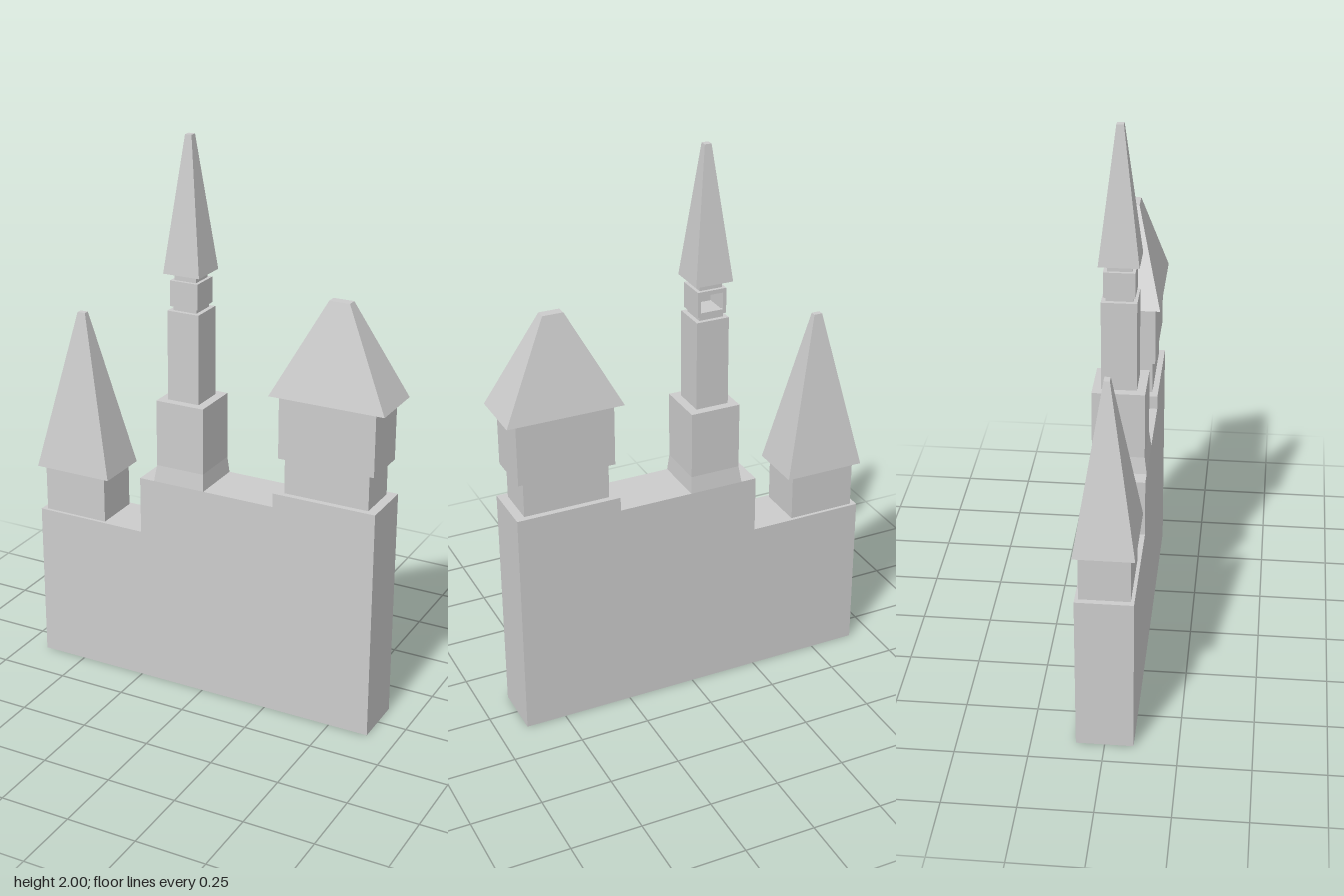
import * as THREE from 'three';

const material = new THREE.MeshStandardMaterial({ color: 0xcccccc, flatShading: true });

// Box whose lower and upper rectangles are given as [x0, x1, halfDepth]
function block(name, y0, y1, low, high = low) {
  const geo = new THREE.BoxGeometry(1, 1, 1);
  const p = geo.attributes.position;
  for (let i = 0; i < p.count; i++) {
    const up = p.getY(i) > 0;
    const [x0, x1, d] = up ? high : low;
    p.setXYZ(i, p.getX(i) > 0 ? x1 : x0, up ? y1 : y0, p.getZ(i) > 0 ? d : -d);
  }
  geo.computeVertexNormals();
  const mesh = new THREE.Mesh(geo, material);
  mesh.name = name;
  return mesh;
}

function tower(name, ...parts) {
  const group = new THREE.Group();
  group.name = name;
  group.add(...parts);
  return group;
}

// Small hollow box with a closed front and a framed opening at the back
function lantern() {
  const [x0, x1, y0, y1, d, t] = [-0.143, -0.038, 1.42, 1.51, 0.053, 0.01];
  const wall = (name, ax, bx, ay, by, az, bz) => {
    const mesh = new THREE.Mesh(new THREE.BoxGeometry(bx - ax, by - ay, bz - az), material);
    mesh.position.set((ax + bx) / 2, (ay + by) / 2, (az + bz) / 2);
    mesh.name = name;
    return mesh;
  };
  const frame = new THREE.Shape([[x0, y0], [x1, y0], [x1, y1], [x0, y1]].map(p => new THREE.Vector2(...p)));
  const [a, b, c, e] = [x0 + 0.012, x1 - 0.012, y0 + 0.015, y1 - 0.015];
  frame.holes.push(new THREE.Path([[a, c], [a, e], [b, e], [b, c]].map(p => new THREE.Vector2(...p))));
  const back = new THREE.Mesh(new THREE.ExtrudeGeometry(frame, { depth: t, bevelEnabled: false }), material);
  back.position.z = -d;
  back.name = 'lanternOpening';
  return tower('lantern', back,
    wall('lanternFront', x0, x1, y0, y1, d - t, d),
    wall('lanternRightSide', x0, x0 + t, y0, y1, -d + t, d - t),
    wall('lanternLeftSide', x1 - t, x1, y0, y1, -d + t, d - t),
    wall('lanternFloor', x0 + t, x1 - t, y0, y0 + t, -d + t, d - t),
    wall('lanternCeiling', x0 + t, x1 - t, y1 - t, y1, -d + t, d - t));
}

export function createModel() {
  const model = new THREE.Group();
  model.name = 'castle';

  // Stepped main wall
  const outline = [[-0.665, 0], [0.645, 0], [0.645, 0.835], [0.272, 0.835],
    [0.272, 0.785], [-0.245, 0.785], [-0.245, 0.577], [-0.665, 0.577]];
  const shape = new THREE.Shape(outline.map(p => new THREE.Vector2(...p)));
  const wall = new THREE.Mesh(new THREE.ExtrudeGeometry(shape, { depth: 0.196, bevelEnabled: false }), material);
  wall.position.z = -0.098;
  wall.name = 'mainWall';
  model.add(wall);

  // Low tower with a tall pointed roof
  model.add(tower('rightTower',
    block('rightTowerNeck', 0.577, 0.747, [-0.645, -0.402, 0.086]),
    block('rightTowerRoof', 0.747, 1.325, [-0.67, -0.377, 0.102], [-0.54, -0.51, 0.01])));

  // Slender middle tower
  model.add(tower('middleTower',
    block('middleSkirt', 0.785, 0.845, [-0.189, 0.006, 0.098], [-0.18, 0.001, 0.09]),
    block('middleBase', 0.845, 1.085, [-0.18, 0.001, 0.09]),
    block('middleShaft', 1.085, 1.405, [-0.15, -0.031, 0.06]),
    block('lowerCollar', 1.405, 1.42, [-0.135, -0.047, 0.045]),
    lantern(),
    block('upperCollar', 1.51, 1.535, [-0.132, -0.05, 0.041]),
    block('spire', 1.535, 2, [-0.16, -0.024, 0.068], [-0.104, -0.08, 0.012])));

  // Broad tower with a hipped roof
  model.add(tower('leftTower',
    block('leftTowerNeck', 0.835, 0.962, [0.305, 0.612, 0.077]),
    block('leftTowerRoom', 0.962, 1.185, [0.285, 0.632, 0.088]),
    block('leftTowerRoof', 1.185, 1.515, [0.254, 0.668, 0.106], [0.425, 0.498, 0.017])));

  return model;
}
